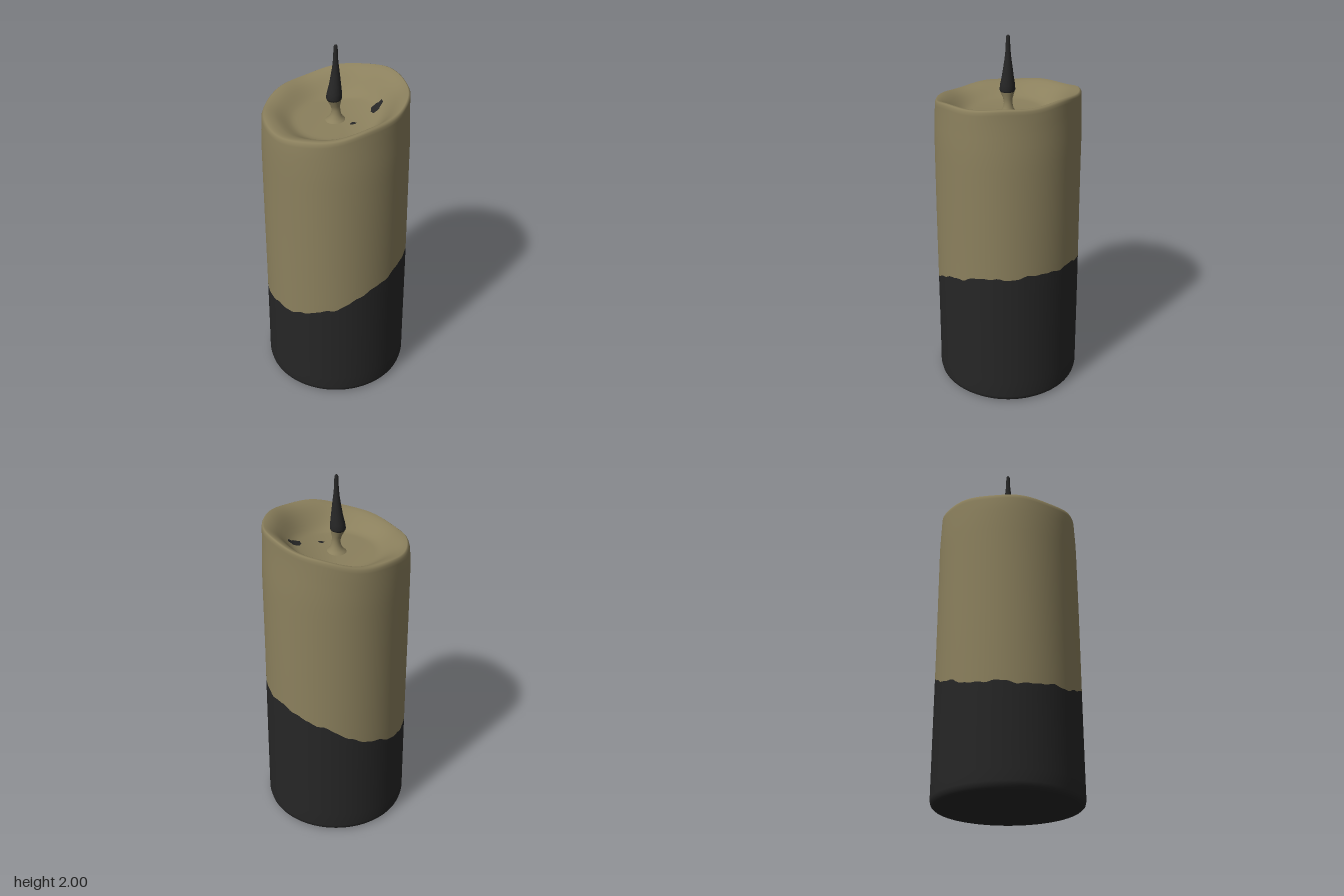
import * as THREE from 'three';

const TAU = Math.PI * 2;
const SEG = 120;

// Heights of the slanted rim, the colour border and the melted hollow
const rimY = (x, a) => 1.692 + 0.17 * x + 0.006 * Math.sin(3 * a + 1) + 0.004 * Math.sin(7 * a);
const borderY = (a) =>
  0.672 + 0.137 * Math.sin(1.3 * Math.sin(a)) / Math.sin(1.3) +
  0.006 * Math.sin(9 * a) + 0.004 * Math.sin(17 * a + 2) + 0.003 * Math.sin(31 * a);
const bowlY = (x, z) => {
  const r = Math.hypot(x, z), a = Math.atan2(x, z);
  const floor = 1.585 + Math.max(0, x) ** 2 + 0.003 * Math.sin(14 * x + 9 * z);
  const t = THREE.MathUtils.smoothstep(r, 0.21, 0.365);
  return floor + (rimY(x, a) - floor) * t;
};

// Side radius shrinks slightly with height, with faint waviness in the wax
const sideR = (y, a) =>
  0.396 - 0.011 * (y / 1.6) - 0.008 * THREE.MathUtils.smoothstep(y, 1.45, 1.72) +
  0.0015 * Math.sin(5 * a + 3 * y) * Math.min(1, y);

// Smooth closed surface through a list of rings; each ring maps an angle to [x, y, z]
function loft(rings, seg = SEG) {
  const pos = [], idx = [];
  rings.forEach((ring, j) => {
    for (let i = 0; i < seg; i++) {
      pos.push(...ring((i / seg) * TAU));
      if (j === rings.length - 1) continue;
      const n = (i + 1) % seg;
      const p = j * seg + i, q = j * seg + n;
      idx.push(p, q, q + seg, p, q + seg, p + seg);
    }
  });
  const g = new THREE.BufferGeometry();
  g.setAttribute('position', new THREE.Float32BufferAttribute(pos, 3));
  g.setIndex(idx);
  g.computeVertexNormals();
  return g;
}

const polar = (r, y, a) => [r * Math.sin(a), y, r * Math.cos(a)];

// Round section rings from [radius, y, x offset] rows
const roundRings = (rows) => rows.map(([r, y, dx = 0]) => (a) => {
  const [x, , z] = polar(r, y, a);
  return [x + dx, y, z];
});

export function createModel() {
  const wax = new THREE.MeshStandardMaterial({ color: 0x8b805d });
  const black = new THREE.MeshStandardMaterial({ color: 0x262626 });
  const group = new THREE.Group();
  const add = (name, geo, mat) => {
    const m = new THREE.Mesh(geo, mat);
    m.name = name;
    group.add(m);
  };

  // Dark lower part with a rounded foot
  const base = roundRings([[0, 0.004], [0.3, 0.004], [0.36, 0], [0.38, 0.004], [0.391, 0.014], [0.396, 0.035]]);
  for (let k = 1; k <= 8; k++) {
    base.push((a) => {
      const y = 0.035 + (borderY(a) - 0.035) * (k / 8);
      return polar(sideR(y, a), y, a);
    });
  }
  add('darkBase', loft(base), black);

  // Wax wall from the colour border to the lip, then the hollow inside
  const body = [];
  const wallSteps = 16;
  for (let k = 0; k <= wallSteps; k++) {
    body.push((a) => {
      const low = borderY(a), top = rimY(0.375 * Math.sin(a), a) - 0.03;
      const y = low + (top - low) * (k / wallSteps);
      return polar(sideR(y, a), y, a);
    });
  }
  for (const [r, drop] of [[0.376, 0.014], [0.371, 0.004], [0.364, 0]]) {
    body.push((a) => polar(r, rimY(r * Math.sin(a), a) - drop, a));
  }
  for (let k = 1; k <= 18; k++) {
    const r = 0.36 * (1 - k / 18);
    body.push((a) => {
      const x = r * Math.sin(a), z = r * Math.cos(a);
      return [x, bowlY(x, z) - 0.004, z];
    });
  }
  add('waxBody', loft(body), wax);

  // Wax drawn up around the foot of the wick
  add('wickStem', loft(roundRings([
    [0.06, 1.575], [0.042, 1.59], [0.028, 1.61], [0.022, 1.64],
    [0.025, 1.665, -0.004], [0.034, 1.69, -0.008], [0.038, 1.705, -0.01],
  ]), 24), wax);

  // Burnt wick
  add('wick', loft(roundRings([
    [0, 1.698, -0.01], [0.036, 1.698, -0.01], [0.041, 1.71, -0.01], [0.038, 1.74, -0.008], [0.031, 1.78, -0.005],
    [0.024, 1.83, -0.003], [0.017, 1.88, -0.002], [0.012, 1.93, -0.002], [0.011, 1.97, -0.002],
    [0.01, 1.99, -0.002], [0.006, 1.998, -0.002], [0, 2, -0.002],
  ]), 24), black);

  // Soot patches lying on the hollow
  const patch = (cx, cz, long, wide, turn) => {
    const rings = [1, 0.66, 0.33, 0].map((s) => (a) => {
      const w = s * (1 + 0.1 * Math.sin(3 * a) + 0.07 * Math.sin(7 * a + 1));
      const u = long * w * Math.cos(a), v = wide * w * Math.sin(a);
      const x = cx + u * Math.cos(turn) + v * Math.sin(turn);
      const z = cz - u * Math.sin(turn) + v * Math.cos(turn);
      return [x, bowlY(x, z) + 0.001, z];
    });
    // Reverse the sweep so that the patch faces up
    const up = loft(rings, 40).toNonIndexed();
    return up;
  };
  const sootMat = black;
  const faceUp = (g) => {
    // Swap two corners of each triangle when it faces down
    const p = g.attributes.position;
    const A = new THREE.Vector3(), B = new THREE.Vector3(), C = new THREE.Vector3();
    for (let i = 0; i < p.count; i += 3) {
      A.fromBufferAttribute(p, i);
      B.fromBufferAttribute(p, i + 1);
      C.fromBufferAttribute(p, i + 2);
      const ny = (B.z - A.z) * (C.x - A.x) - (B.x - A.x) * (C.z - A.z);
      if (ny < 0) {
        p.setXYZ(i + 1, C.x, C.y, C.z);
        p.setXYZ(i + 2, B.x, B.y, B.z);
      }
    }
    g.computeVertexNormals();
    return g;
  };
  add('largeSootPatch', faceUp(patch(0.21, 0.012, 0.042, 0.024, 0.75)), sootMat);
  add('smallSootPatch', faceUp(patch(0.069, 0.082, 0.016, 0.011, 0)), sootMat);

  return group;
}
